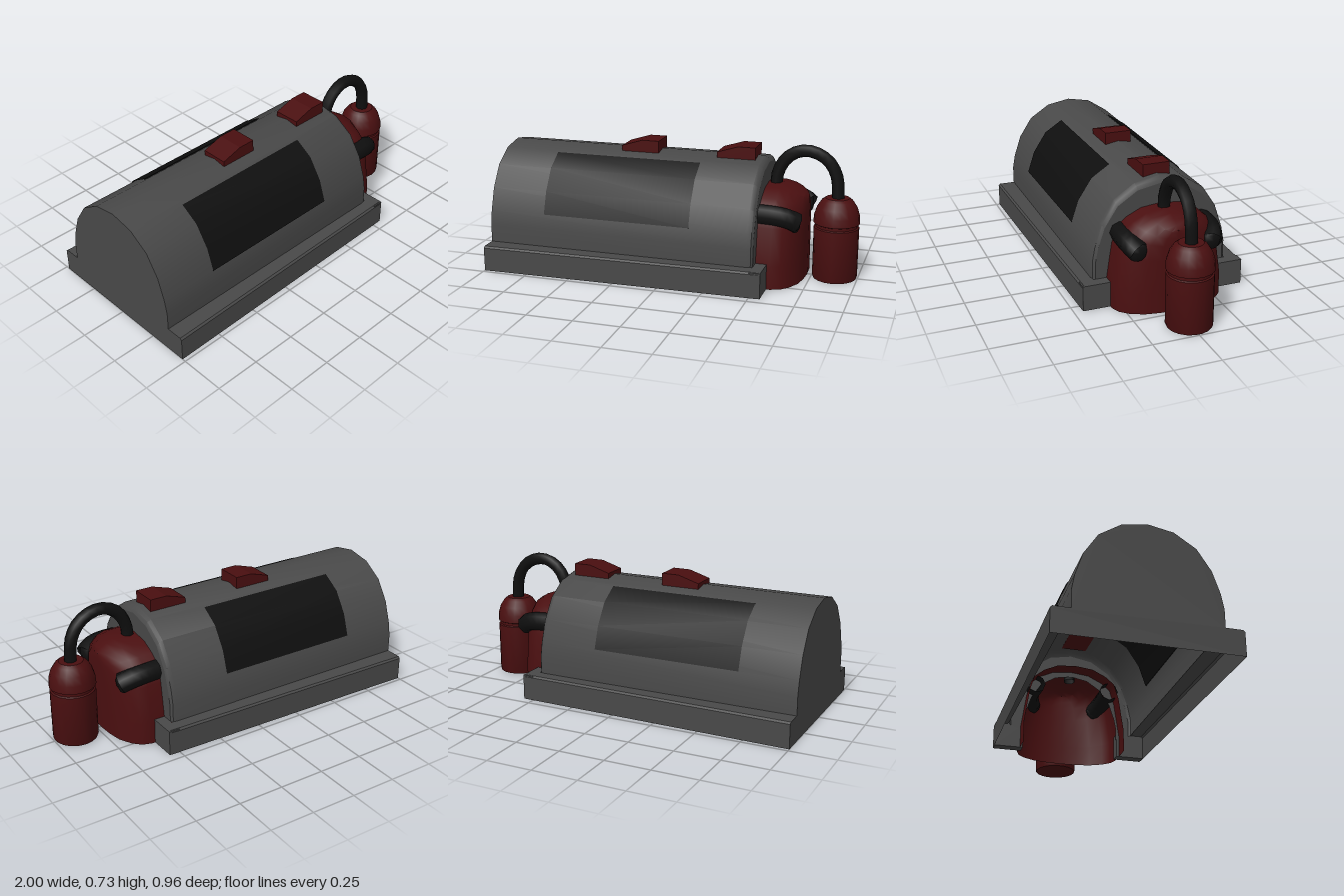
import * as THREE from 'three';
import { toCreasedNormals } from 'three/addons/utils/BufferGeometryUtils.js';

const mat = (name, color) => {
  const m = new THREE.MeshStandardMaterial({ color, side: THREE.DoubleSide });
  m.name = name;
  return m;
};

// Skin through a list of cross-sections, each a list of [x, y, z]
function loft(rows, crease = 0.6) {
  const n = rows[0].length, index = [];
  for (let r = 0; r < rows.length - 1; r++)
    for (let i = 0; i < n - 1; i++) {
      const a = r * n + i, b = a + n;
      index.push(a, a + 1, b, b, a + 1, b + 1);
    }
  const g = new THREE.BufferGeometry();
  g.setAttribute('position', new THREE.Float32BufferAttribute(rows.flat(2), 3));
  g.setIndex(index);
  return toCreasedNormals(g, crease);
}

// Full arch from one half given as [z, y], ending at the crown
const mirrorArch = half => [...half, ...half.slice(0, -1).reverse().map(([z, y]) => [-z, y])];
const section = (pts, x, sz = 1, sy = 1) => pts.map(([z, y]) => [x, y * sy, z * sz]);

export function createModel() {
  const model = new THREE.Group();
  const grey = mat('dark grey', 0x494949);
  const red = mat('dark red', 0x4a0f10);
  const black = mat('black', 0x0f0f0f);
  const add = (name, geometry, material) => {
    const mesh = new THREE.Mesh(geometry, material);
    mesh.name = name;
    model.add(mesh);
    return mesh;
  };

  // Arched shell with a bevelled open end, hollow underneath
  const arch = mirrorArch([[0.38, 0.14], [0.38, 0.24], [0.365, 0.32], [0.325, 0.44],
    [0.25, 0.555], [0.135, 0.63], [0, 0.655]]);
  add('shell', loft([section(arch, -1), section(arch, 0.47),
    section(arch, 0.49, 0.985, 0.98), section(arch, 0.5, 0.95, 0.95)]), grey);
  add('shellEndRing', loft([section(arch, 0.5, 0.95, 0.95), section(arch, 0.5, 0.74, 0.74)]), grey);

  // Flat closed end, including the ends of the side skirts
  const endShape = new THREE.Shape([[0.48, 0], [0.48, 0.13], [0.47, 0.14], ...arch,
    [-0.47, 0.14], [-0.48, 0.13], [-0.48, 0]].map(([z, y]) => new THREE.Vector2(z, y)));
  const end = new THREE.ShapeGeometry(endShape);
  end.rotateY(-Math.PI / 2);
  end.translate(-1, 0, 0);
  add('closedEnd', end, grey);

  for (const s of [1, -1]) {
    // Tapering skirt along the side
    const skirt = (x, w) => [[x, 0, s * w], [x, 0.13, s * w], [x, 0.14, s * (w - 0.01)], [x, 0.14, s * 0.375]];
    add('sideSkirt', loft([skirt(-1, 0.48), skirt(0.55, 0.452)], 0.3), grey);
    // Block closing the skirt beside the pump body
    const block = new THREE.BoxGeometry(0.06, 0.139, 0.165);
    block.translate(0.53, 0.0695, s * 0.3685);
    add('skirtEnd', block, grey);

    // Curved window plate lying in the shell
    const line = [[0.365, 0.32], [0.325, 0.44], [0.25, 0.555], [0.15, 0.62]];
    const off = d => line.map(([z, y]) => {
      const l = Math.hypot(z, y - 0.25);
      return [s * (z + d * z / l), y + d * (y - 0.25) / l];
    });
    const outer = off(0.005), plate = [...outer, ...off(-0.004).reverse(), outer[0]];
    add('window', loft([section(plate, -0.68), section(plate, 0.15)]), black);

    // Short elbow wrapped around the shoulder of the body
    const elbowPath = new THREE.CatmullRomCurve3([[0.44, 0.39, 0.225], [0.6, 0.385, 0.23],
      [0.66, 0.37, 0.218], [0.695, 0.35, 0.2]].map(([x, y, z]) => new THREE.Vector3(x, y, s * z)));
    add('elbow', new THREE.TubeGeometry(elbowPath, 8, 0.055, 8), black);
    const tip = new THREE.SphereGeometry(0.055, 8, 6);
    tip.scale(0.5, 1, 1);
    tip.translate(0.688, 0.352, s * 0.203);
    add('elbowTip', tip, black);
  }

  // Rounded pump body, open at the back and below
  const body = mirrorArch([[0.302, 0], [0.302, 0.13], [0.272, 0.33], [0.245, 0.42],
    [0.19, 0.465], [0.11, 0.503], [0, 0.515]]);
  add('pumpBody', loft([[0.4, 1, 1], [0.58, 1, 1], [0.63, 0.94, 0.98], [0.67, 0.8, 0.95],
    [0.705, 0.57, 0.91], [0.72, 0.3, 0.88], [0.725, 0, 0.87]]
    .map(([x, sz, sy]) => section(body, x, sz, sy)), 0.7), red);

  // Separate upright tank with a groove under its domed lid
  const profile = [[0, 0], [0.118, 0], [0.122, 0.01], [0.122, 0.288], [0.114, 0.293], [0.114, 0.308],
    [0.125, 0.313], [0.122, 0.355], [0.108, 0.4], [0.085, 0.435], [0.065, 0.45], [0, 0.45]];
  const tank = toCreasedNormals(new THREE.LatheGeometry(
    profile.map(([r, y]) => new THREE.Vector2(r, y)), 18), 0.6);
  tank.translate(0.875, 0, 0);
  add('tank', tank, red);

  // Hose arching from the body to the tank
  const hosePath = new THREE.CatmullRomCurve3([[0.54, 0.47], [0.545, 0.56], [0.585, 0.64], [0.64, 0.682],
    [0.7, 0.696], [0.77, 0.68], [0.83, 0.635], [0.868, 0.56], [0.878, 0.44]]
    .map(([x, y]) => new THREE.Vector3(x, y, 0)));
  add('hose', new THREE.TubeGeometry(hosePath, 16, 0.034, 8), black);

  // Wedge-shaped fittings on the roof
  const wedge = new THREE.Shape([[-0.107, 0.64], [0.107, 0.64], [0.107, 0.708], [0.01, 0.708],
    [-0.107, 0.672]].map(([x, y]) => new THREE.Vector2(x, y)));
  for (const x of [-0.218, 0.329]) {
    const g = new THREE.ExtrudeGeometry(wedge, { depth: 0.15, bevelEnabled: false });
    g.translate(x, 0, -0.075);
    add('roofFitting', g, red);
  }
  return model;
}
